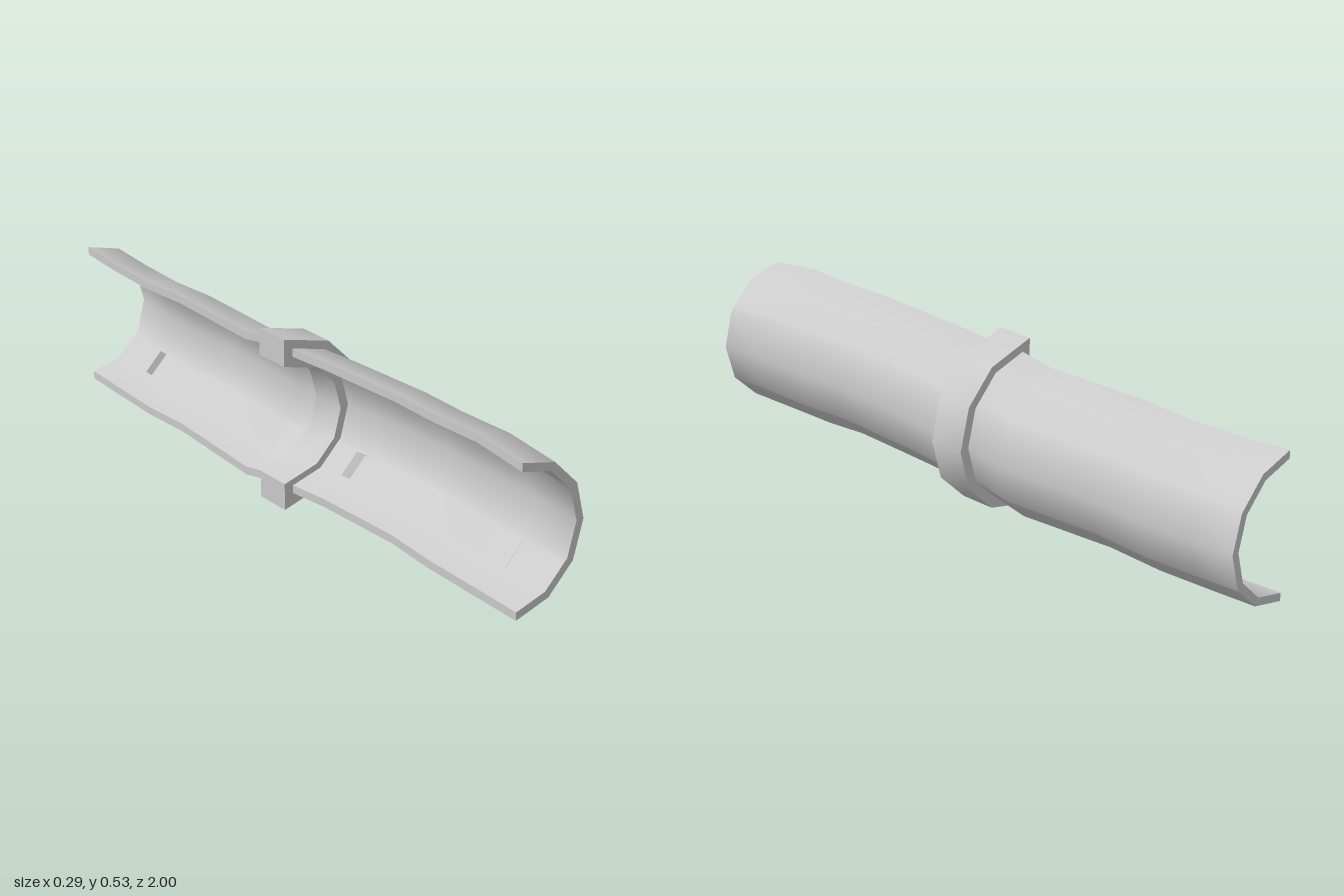
import * as THREE from 'three';
import { toCreasedNormals } from 'three/addons/utils/BufferGeometryUtils.js';

const CX = -0.114, CY = 0.273;          // axis of the half pipe
const OUTER = 0.227, INNER = 0.202, FLOOR = 0.221;
const CREASE = 0.62;                    // keeps the 30 degree facets soft

// How far the upper and lower edges sway at each station: [z, top, bottom]
const sway = [
  [1, 0, 0.003], [0.83, 0.02, 0.006], [0.65, 0.015, 0.01], [0.5, 0.018, 0.022], [0.2, 0.008, 0.014],
  [0.057, 0, 0.002], [-0.057, 0, -0.002], [-0.17, -0.018, -0.025], [-0.5, -0.01, -0.005],
  [-0.68, -0.018, -0.011], [-0.85, -0.012, -0.004], [-1, 0, 0.003],
];
function swayAt(z) {
  let i = 0;
  while (i < sway.length - 2 && z < sway[i + 1][0]) i++;
  const [a, b] = [sway[i], sway[i + 1]];
  const t = (a[0] - z) / (a[0] - b[0]);
  return [1, 2].map((k) => THREE.MathUtils.lerp(a[k], b[k], t));
}

// Point on a half twelve-sided outline; t runs 0 (top) to 6 (bottom)
function outline(t, r) {
  const k = Math.min(Math.floor(t), 5);
  const corner = (n) => new THREE.Vector2(r * Math.sin((n * Math.PI) / 6), r * Math.cos((n * Math.PI) / 6));
  return corner(k).lerp(corner(k + 1), t - k);
}

// Outline parameters; doubled values are the lip and the floor of a recess
const params = [0, 1, 1.03, 1.03, 1.82, 1.82, 2, 3, 4, 4.18, 4.18, 4.97, 4.97, 5, 6];
const floorPoints = [3, 4, 10, 11];

function crossSection(z, recessed) {
  const [top, bottom] = swayAt(z);
  const place = (t, r) => {
    const p = outline(t, r);
    const y = p.y + THREE.MathUtils.lerp(bottom, top, (p.y / OUTER + 1) / 2);
    return new THREE.Vector3(CX + p.x, CY + y, z);
  };
  const outer = params.map((t) => place(t, OUTER));
  const inner = params.map((t, i) => place(t, recessed && floorPoints.includes(i) ? FLOOR : INNER));
  return [...outer, ...inner.reverse()];
}

function pipeGeometry() {
  // Stations from front to back; recess ends slope over 0.02
  const recesses = [[0.85, 0.15], [-0.17, -0.86]];
  const inRecess = (z) => recesses.some(([a, b]) => z < a - 0.015 && z > b + 0.015);
  const extra = recesses.flatMap(([a, b]) => [a, a - 0.02, b + 0.02, b]);
  const zs = [...new Set([...sway.map((s) => s[0]), ...extra])].sort((a, b) => b - a);
  const rings = zs.map((z) => crossSection(z, inRecess(z)));

  const positions = [];
  const tri = (a, b, c) => {
    const area = b.clone().sub(a).cross(c.clone().sub(a)).length();
    if (area > 1e-8) [a, b, c].forEach((p) => positions.push(p.x, p.y, p.z));
  };
  const quad = (a, b, c, d) => { tri(a, b, c); tri(a, c, d); };

  const n = rings[0].length;
  for (let i = 0; i < rings.length - 1; i++) {
    for (let j = 0; j < n; j++) {
      const k = (j + 1) % n;
      quad(rings[i][j], rings[i][k], rings[i + 1][k], rings[i + 1][j]);
    }
  }
  // End walls
  const front = rings[0], back = rings[rings.length - 1];
  for (let k = 0; k < params.length - 1; k++) {
    quad(front[k], front[n - 1 - k], front[n - 2 - k], front[k + 1]);
    quad(back[k], back[k + 1], back[n - 2 - k], back[n - 1 - k]);
  }
  const geometry = new THREE.BufferGeometry();
  geometry.setAttribute('position', new THREE.Float32BufferAttribute(positions, 3));
  return toCreasedNormals(geometry, CREASE);
}

function collarGeometry() {
  const cy = 0.268, edgeX = -0.144, width = 0.114;
  // Half outline whose two ends run on straight to the open edge
  const half = (r) => {
    const points = [];
    for (let t = 0; t <= 6; t++) points.push(outline(t, r).add(new THREE.Vector2(CX, cy)));
    const rise = (CX - edgeX) * Math.tan(Math.PI / 12);
    points[0].set(edgeX, cy + r + rise);
    points[6].set(edgeX, cy - r - rise);
    return points;
  };
  const shape = new THREE.Shape([...half(0.258), ...half(0.175).reverse()]);
  const geometry = new THREE.ExtrudeGeometry(shape, { depth: width, bevelEnabled: false });
  geometry.translate(0, 0, -width / 2);
  return toCreasedNormals(geometry, CREASE);
}

export function createModel() {
  const group = new THREE.Group();
  group.name = 'halfPipe';
  const material = new THREE.MeshStandardMaterial({ color: 0xcccccc });
  const add = (name, geometry) => {
    const mesh = new THREE.Mesh(geometry, material);
    mesh.name = name;
    group.add(mesh);
  };
  add('pipeShell', pipeGeometry());
  add('collar', collarGeometry());
  return group;
}
